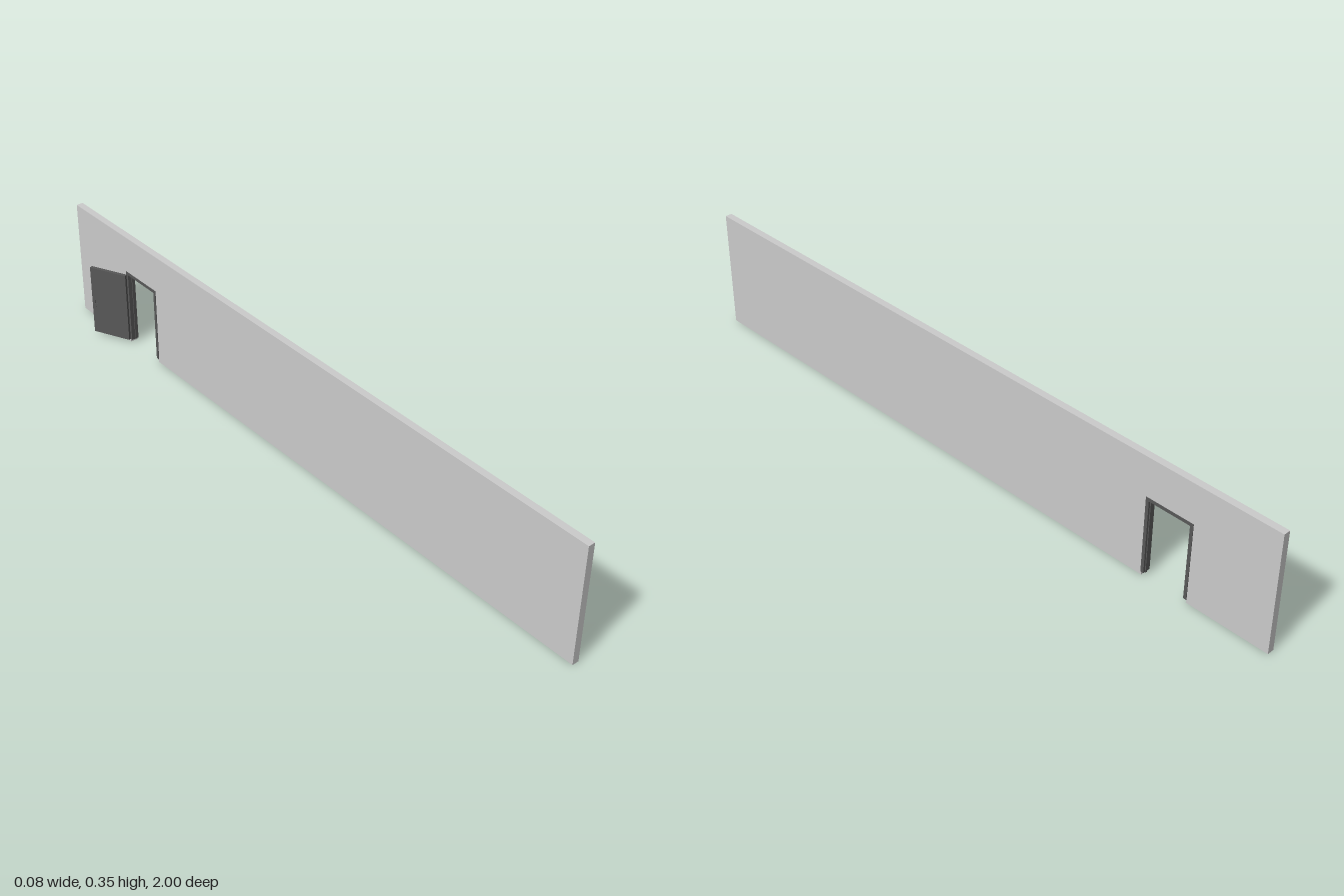
import * as THREE from 'three';

const grey = new THREE.MeshStandardMaterial({ color: 0xcccccc });
const dark = new THREE.MeshStandardMaterial({ color: 0x585858 });

// Box given by its limits on each axis
function box(parent, name, mat, [x0, x1], [y0, y1], [z0, z1]) {
  const mesh = new THREE.Mesh(new THREE.BoxGeometry(x1 - x0, y1 - y0, z1 - z0), mat);
  mesh.position.set((x0 + x1) / 2, (y0 + y1) / 2, (z0 + z1) / 2);
  mesh.name = name;
  parent.add(mesh);
  return mesh;
}

// U-shaped surround (open at the floor) extruded along x
function surround(parent, name, xs, outer, inner, y0) {
  const s = new THREE.Shape();
  // shape x is -z
  [[outer.a, y0], [inner.a, y0], [inner.a, inner.top], [inner.b, inner.top],
    [inner.b, y0], [outer.b, y0], [outer.b, outer.top], [outer.a, outer.top]]
    .forEach(([u, v], i) => (i ? s.lineTo(u, v) : s.moveTo(u, v)));
  const geo = new THREE.ExtrudeGeometry(s, { depth: xs[1] - xs[0], bevelEnabled: false });
  geo.rotateY(Math.PI / 2);
  geo.translate(xs[0], 0, 0);
  const mesh = new THREE.Mesh(geo, name === 'wall' ? grey : dark);
  mesh.name = name;
  parent.add(mesh);
}

export function createModel() {
  const model = new THREE.Group();
  model.name = 'wallWithDoor';

  // Long wall with a doorway reaching the floor
  const opening = { a: 0.615, b: 0.756, top: 0.238 };
  surround(model, 'wall', [0.018, 0.038], { a: -1, b: 1, top: 0.354 }, opening, 0);

  // Door frame: lining slightly proud of the wall, and an inner stop
  const frame = new THREE.Group();
  frame.name = 'doorFrame';
  model.add(frame);
  const clear = { a: 0.623, b: 0.748, top: 0.231 };
  surround(frame, 'frameLining', [0.0165, 0.0395],
    { a: 0.6135, b: 0.7575, top: 0.24 }, clear, 0.01);
  surround(frame, 'doorStop', [0.028, 0.034], clear,
    { a: 0.6255, b: 0.7455, top: 0.2285 }, 0.01);

  // Open door leaf, swung out past its hinge
  const door = new THREE.Group();
  door.name = 'door';
  door.position.set(0.0135, 0, -0.754);
  door.rotation.y = 0.445;
  model.add(door);
  box(door, 'doorLeaf', dark, [-0.005, 0.005], [0.011, 0.229], [-0.117, 0]);

  // Hinges
  for (const y of [0.04, 0.2]) {
    const hinge = new THREE.Mesh(new THREE.CylinderGeometry(0.0015, 0.0015, 0.012, 10), dark);
    hinge.name = 'hinge';
    hinge.position.set(0.005, y, 0);
    door.add(hinge);
  }

  // Lever handle on both faces
  for (const side of [-1, 1]) {
    const handle = new THREE.Group();
    handle.name = 'doorHandle';
    handle.scale.x = 1;
    door.add(handle);
    const span = (p, q) => [p * side, q * side].sort((m, n) => m - n);
    box(handle, 'handlePlate', dark, span(0.005, 0.006), [0.098, 0.121], [-0.111, -0.106]);
    const spindle = new THREE.Mesh(new THREE.CylinderGeometry(0.0012, 0.0012, 0.006, 10), dark);
    spindle.name = 'handleSpindle';
    spindle.rotation.z = Math.PI / 2;
    spindle.position.set(side * 0.009, 0.113, -0.1085);
    handle.add(spindle);
    box(handle, 'handleLever', dark, span(0.0105, 0.0125), [0.1118, 0.1142], [-0.1097, -0.095]);
  }

  return model;
}
